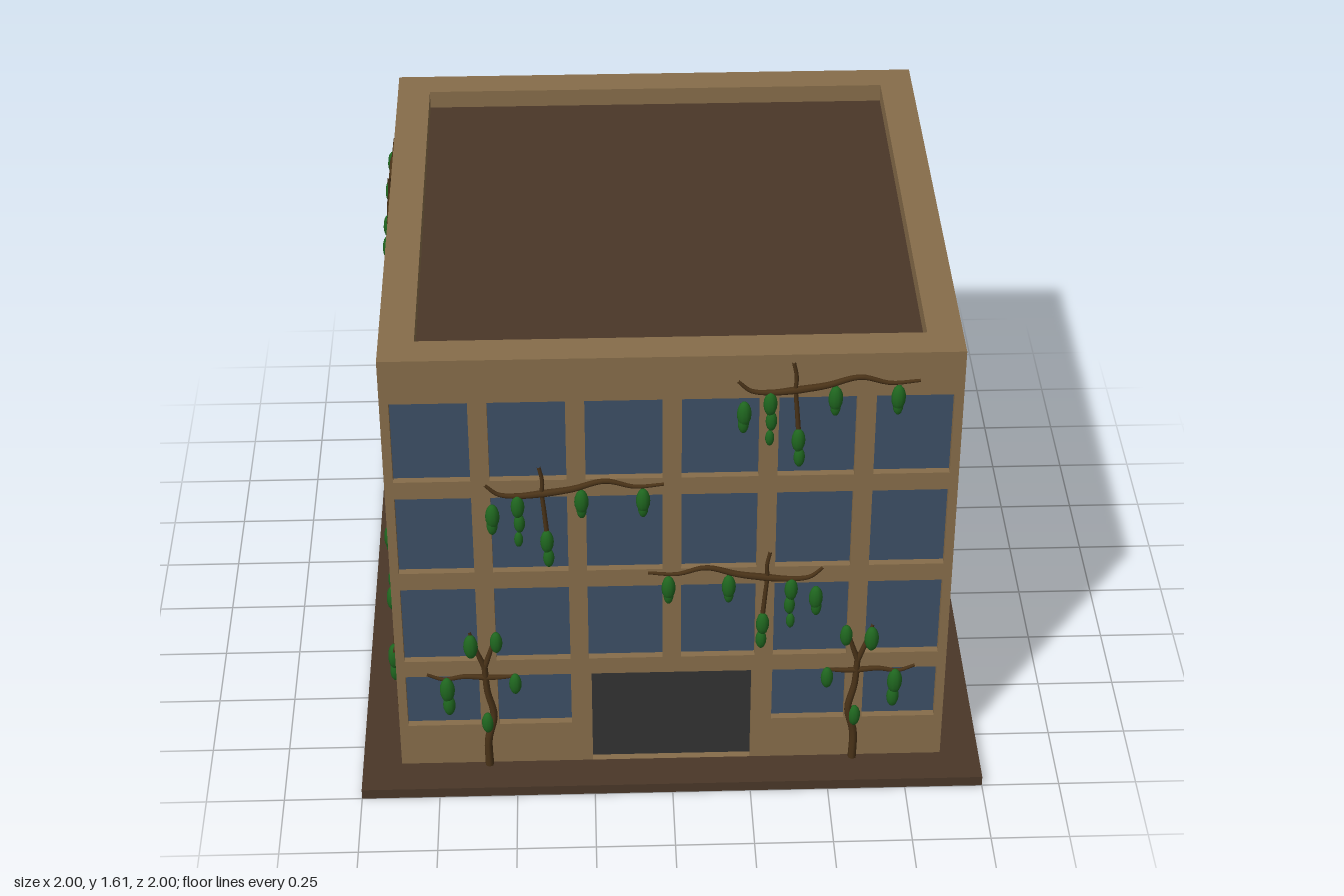
import * as THREE from 'three';

const HALF = 0.875, TOP = 1.605, RECESS = 0.025, BASE_TOP = 0.035;
const paint = (color) => new THREE.MeshStandardMaterial({ color });
const wallMat = paint(0x876d4a), glassMat = paint(0x3d4f66), doorMat = paint(0x333333);
const earthMat = paint(0x4a3728), stemMat = paint(0x4a3318), leafMat = paint(0x1f661f);

// Window grid shared by all four faces
const COLUMNS = [-0.73, -0.438, -0.146, 0.146, 0.438, 0.73];
const ROWS = [[0.195, 0.398], [0.46, 0.749], [0.813, 1.1], [1.163, 1.452]];
const WINDOW_HALF = 0.117, DOOR_HALF = 0.255;

function add(parent, name, geometry, material, x = 0, y = 0, z = 0) {
  const mesh = new THREE.Mesh(geometry, material);
  mesh.name = name;
  mesh.position.set(x, y, z);
  parent.add(mesh);
  return mesh;
}

function rect(Type, x0, y0, x1, y1) {
  return new Type([[x0, y0], [x1, y0], [x1, y1], [x0, y1]].map((p) => new THREE.Vector2(...p)));
}

// Flat square frame lying on the ground plane, rising by height
function squareRing(outer, inner, height) {
  const shape = rect(THREE.Shape, -outer, -outer, outer, outer);
  shape.holes.push(rect(THREE.Path, -inner, -inner, inner, inner));
  return new THREE.ExtrudeGeometry(shape, { depth: height, bevelEnabled: false }).rotateX(-Math.PI / 2);
}

// One outer wall with recessed windows and, if wanted, a doorway
function wallFace(halfWidth, hasDoor) {
  const face = new THREE.Group();
  const shape = rect(THREE.Shape, -halfWidth, 0, halfWidth, TOP);
  const opening = (name, material, x0, y0, x1, y1) => {
    shape.holes.push(rect(THREE.Path, x0, y0, x1, y1));
    add(face, name, new THREE.PlaneGeometry(x1 - x0, y1 - y0), material,
      (x0 + x1) / 2, (y0 + y1) / 2, HALF - RECESS + 0.001);
  };
  ROWS.forEach(([y0, y1], row) => COLUMNS.forEach((x) => {
    if (hasDoor && row === 0 && Math.abs(x) < 0.2) return;
    opening('window', glassMat, x - WINDOW_HALF, y0, x + WINDOW_HALF, y1);
  }));
  if (hasDoor) opening('door', doorMat, -DOOR_HALF, BASE_TOP, DOOR_HALF, 0.398);
  add(face, 'wall', new THREE.ExtrudeGeometry(shape, { depth: RECESS, bevelEnabled: false }),
    wallMat, 0, 0, HALF - RECESS);
  return face;
}

// Tube that thins from r0 to r1 along a path of [x, y] points
function taperedStem(points, r0, r1) {
  const curve = new THREE.CatmullRomCurve3(points.map(([x, y]) => new THREE.Vector3(x, y, 0)));
  const steps = 20, sides = 7;
  const geometry = new THREE.TubeGeometry(curve, steps, 1, sides);
  const pos = geometry.attributes.position, v = new THREE.Vector3();
  for (let i = 0; i < pos.count; i++) {
    const t = Math.floor(i / (sides + 1)) / steps;
    const centre = curve.getPointAt(t);
    v.fromBufferAttribute(pos, i).sub(centre).multiplyScalar(r0 + (r1 - r0) * t).add(centre);
    pos.setXYZ(i, v.x, v.y, v.z);
  }
  return geometry;
}

const leafGeometry = new THREE.SphereGeometry(1, 10, 8);

// Strand of overlapping leaves hanging from (x, y), smaller toward the tip
function leafStrand(vine, x, y, count, flip, size = 1) {
  for (let i = 0; i < count; i++) {
    const s = size * (1 - 0.17 * i);
    add(vine, 'leaf', leafGeometry, leafMat, flip * (x + 0.004 * (i % 2)), y - 0.045 - i * 0.062, 0.005)
      .scale.set(0.021 * s, 0.042 * s, 0.018 * s);
  }
}

function buildVine(name, stems, strands, flip, stretch = 1) {
  const vine = new THREE.Group();
  vine.name = name;
  for (const [points, r0, r1] of stems) {
    const path = points.map(([x, y]) => [flip * x, y * stretch]);
    add(vine, 'stem', taperedStem(path, r0, r1), stemMat);
  }
  for (const [x, y, count, size] of strands) leafStrand(vine, x, y * stretch, count, flip, size);
  return vine;
}

// Vine clinging to the wall, centred on its crossing
function hangingVine(flip) {
  return buildVine('hangingVine', [
    [[[0, -0.005], [-0.07, -0.012], [-0.135, -0.005], [-0.175, 0.03]], 0.012, 0.005],
    [[[0, -0.005], [0.09, 0.01], [0.19, 0.038], [0.28, 0.015], [0.37, 0.022]], 0.012, 0.005],
    [[[-0.01, 0.095], [0, 0.04], [-0.002, 0], [0.004, -0.08], [0.012, -0.18]], 0.006, 0.008],
  ], [
    [-0.155, -0.04, 1, 1.05], [-0.157, -0.075, 1, 0.8], [-0.077, -0.005, 3, 1],
    [0.01, -0.14, 2, 1], [0.118, 0.01, 1, 1.05], [0.118, -0.02, 1, 0.75],
    [0.306, 0.01, 1, 1.05], [0.306, -0.02, 1, 0.75],
  ], flip);
}

// Vine growing from the ground with a cross branch and a forked top
function groundVine(flip, stretch = 1) {
  return buildVine('groundVine', [
    [[[0, 0.03], [0, 0.14], [0.02, 0.24], [0.002, 0.34], [-0.004, 0.44]], 0.014, 0.01],
    [[[-0.004, 0.44], [-0.025, 0.5], [-0.048, 0.585]], 0.01, 0.005],
    [[[-0.004, 0.44], [0.015, 0.5], [0.035, 0.575]], 0.01, 0.005],
    [[[0, 0.4], [-0.07, 0.405], [-0.135, 0.395], [-0.188, 0.415]], 0.01, 0.005],
    [[[0, 0.4], [0.05, 0.4], [0.1, 0.405]], 0.01, 0.005],
  ], [
    [-0.045, 0.575, 1, 1.1], [0.036, 0.59, 1, 0.95], [-0.125, 0.4, 2, 1.15],
    [0.092, 0.42, 1, 0.95], [0, 0.26, 1, 0.95],
  ], flip, stretch);
}

// Per face: hanging [x, y, flip] and ground [x, flip, stretch]; order front, left, back, right
const FACES = [
  { name: 'frontFace', hanging: [[0.37, 1.49, 1], [-0.395, 1.125, 1], [0.295, 0.785, -1]], ground: [[-0.59, 1], [0.587, -1]] },
  { name: 'leftFace', hanging: [[-0.29, 1.13, -1], [0.285, 0.775, 1]], ground: [[0.592, 1]] },
  { name: 'backFace', hanging: [[-0.395, 1.125, 1], [0.12, 0.77, 1]], ground: [[-0.59, 1], [0.587, -1]] },
  { name: 'rightFace', hanging: [[-0.26, 1.48, -1], [0.28, 0.775, 1]], ground: [[-0.58, 1, 1.72], [0.59, -1]] },
];

export function createModel() {
  const model = new THREE.Group();
  model.name = 'overgrownBuilding';

  // Ground slab, underside and roof with parapet
  add(model, 'groundSlab', squareRing(1, HALF, BASE_TOP), earthMat);
  const inner = 2 * (HALF - RECESS);
  add(model, 'floor', new THREE.BoxGeometry(inner, 0.02, inner), wallMat, 0, 0.01, 0);
  add(model, 'parapet', squareRing(HALF - RECESS, 0.767, 0.1), wallMat, 0, TOP - 0.1, 0);
  add(model, 'roof', new THREE.BoxGeometry(1.534, 0.03, 1.534), earthMat, 0, 1.53, 0);

  // Four walls with their vines
  FACES.forEach(({ name, hanging, ground }, i) => {
    const even = i % 2 === 0;
    const face = wallFace(even ? HALF : HALF - RECESS, even);
    face.name = name;
    for (const [x, y, flip] of hanging) {
      const vine = hangingVine(flip);
      vine.position.set(x, y, HALF + 0.01);
      face.add(vine);
    }
    for (const [x, flip, stretch] of ground) {
      const vine = groundVine(flip, stretch);
      vine.position.set(x, 0, HALF + 0.01);
      face.add(vine);
    }
    face.rotation.y = i * Math.PI / 2;
    model.add(face);
  });
  return model;
}
